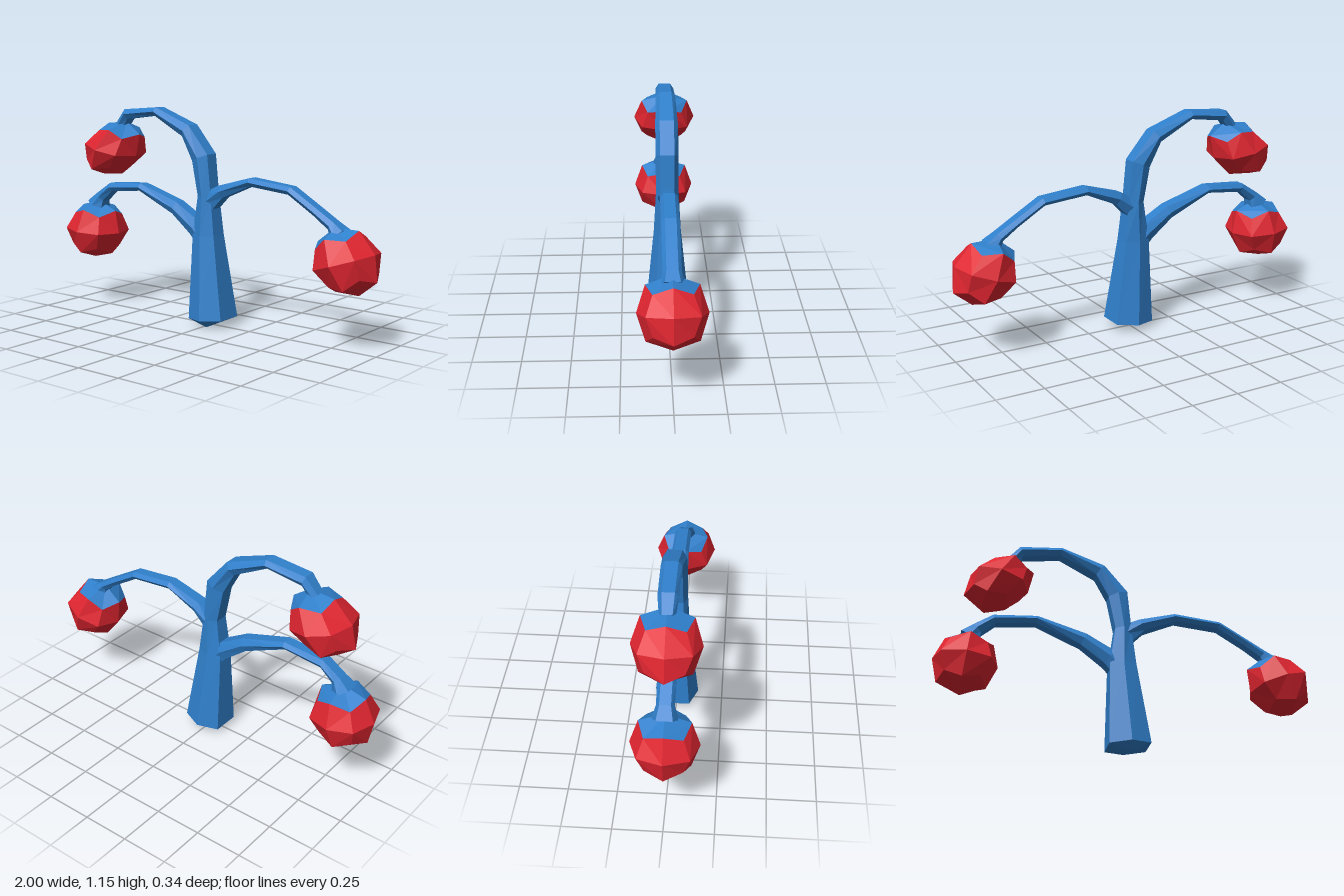
import * as THREE from 'three';

const blue = new THREE.MeshStandardMaterial({ color: 0x3080cc });
blue.name = 'blue bark';
const red = new THREE.MeshStandardMaterial({ color: 0xe02530 });
red.name = 'red fruit';

// faceted geometry from a flat list of triangle corners
function faceted(points) {
  const geo = new THREE.BufferGeometry().setFromPoints(points);
  geo.computeVertexNormals();
  return geo;
}

function addMesh(parent, name, geo, material) {
  const mesh = new THREE.Mesh(geo, material);
  mesh.name = name;
  parent.add(mesh);
}

// hexagonal limb swept in the xy plane; each station is [x, y, halfWidth, halfDepth]
const HEX = [[1, 0.62], [1, -0.62], [0, -1], [-1, -0.62], [-1, 0.62], [0, 1]];
function limb(stations, startTip) {
  const centers = stations.map(([x, y]) => new THREE.Vector3(x, y, 0));
  const last = stations.length - 1;
  const rings = stations.map(([x, y, w, d], i) => {
    const before = centers[Math.max(i - 1, 0)];
    const after = centers[Math.min(i + 1, last)];
    const t = after.clone().sub(before).normalize();
    return HEX.map(([n, z]) => new THREE.Vector3(x + t.y * n * w, y - t.x * n * w, z * d));
  });
  const tris = [];
  for (let j = 0; j < 6; j++) {
    const k = (j + 1) % 6;
    for (let i = 0; i < last; i++) {
      const a = rings[i][j], b = rings[i][k], c = rings[i + 1][k], d = rings[i + 1][j];
      tris.push(a, b, c, a, c, d);
    }
    tris.push(startTip || centers[0], rings[0][k], rings[0][j]);
    tris.push(centers[last], rings[last][j], rings[last][k]);
  }
  return faceted(tris);
}

// rounded cube with 2x2 quads per side, skewed by its side and top vectors
const ROUND = [0, 1, 0.75, 0.5556];
function addFruit(parent, name, [cx, cy], [sx, sy], [tx, ty]) {
  const fruit = new THREE.Group();
  fruit.name = name;
  const skin = [], cap = [];
  for (let axis = 0; axis < 3; axis++) {
    for (const sign of [1, -1]) {
      const at = (u, v) => {
        const p = [0, 0, 0];
        p[axis] = sign;
        p[(axis + 1) % 3] = u * sign;
        p[(axis + 2) % 3] = v;
        const r = ROUND[p.filter((q) => q !== 0).length];
        const [x, y, z] = p.map((q) => q * r);
        return new THREE.Vector3(cx + x * sx + y * tx, cy + x * sy + y * ty, z * 0.17);
      };
      const target = axis === 1 && sign === 1 ? cap : skin;
      for (const u of [-1, 0]) {
        for (const v of [-1, 0]) {
          const a = at(u, v), b = at(u + 1, v), c = at(u + 1, v + 1), d = at(u, v + 1);
          target.push(a, b, c, a, c, d);
        }
      }
    }
  }
  addMesh(fruit, name + 'Skin', faceted(skin), red);
  addMesh(fruit, name + 'Cap', faceted(cap), blue);
  parent.add(fruit);
}

export function createModel() {
  const tree = new THREE.Group();
  tree.name = 'fruitTree';

  // trunk bending over into the upper branch
  addMesh(tree, 'trunk', limb([
    [0.01, 0.045, 0.108, 0.118],
    [-0.022, 0.49, 0.07, 0.072],
    [-0.02, 0.7, 0.043, 0.06],
    [-0.05, 0.9, 0.054, 0.06],
    [-0.147, 1.037, 0.037, 0.06],
    [-0.36, 1.13, 0.023, 0.052],
    [-0.575, 1.108, 0.028, 0.05],
    [-0.63, 1.04, 0.028, 0.04],
  ], new THREE.Vector3(0.02, 0.005, 0.07)), blue);

  // lower branch on the right
  addMesh(tree, 'lowerBranch', limb([
    [-0.03, 0.46, 0.05, 0.05],
    [-0.09, 0.525, 0.047, 0.055],
    [-0.23, 0.618, 0.036, 0.05],
    [-0.48, 0.71, 0.021, 0.045],
    [-0.7, 0.692, 0.024, 0.045],
    [-0.785, 0.63, 0.03, 0.045],
    [-0.82, 0.575, 0.055, 0.065],
  ]), blue);

  // side branch on the left
  addMesh(tree, 'sideBranch', limb([
    [-0.02, 0.66, 0.055, 0.05],
    [0.08, 0.73, 0.034, 0.05],
    [0.265, 0.794, 0.021, 0.045],
    [0.508, 0.77, 0.02, 0.045],
    [0.663, 0.677, 0.02, 0.045],
    [0.75, 0.62, 0.024, 0.045],
    [0.79, 0.575, 0.042, 0.06],
  ]), blue);

  // hanging fruits
  addFruit(tree, 'upperFruit', [-0.684, 0.912], [0.153, -0.037], [0.089, 0.151]);
  addFruit(tree, 'lowerFruit', [-0.834, 0.438], [0.167, -0.012], [0.02, 0.165]);
  addFruit(tree, 'sideFruit', [0.83, 0.45], [0.153, 0.05], [-0.07, 0.16]);

  return tree;
}
